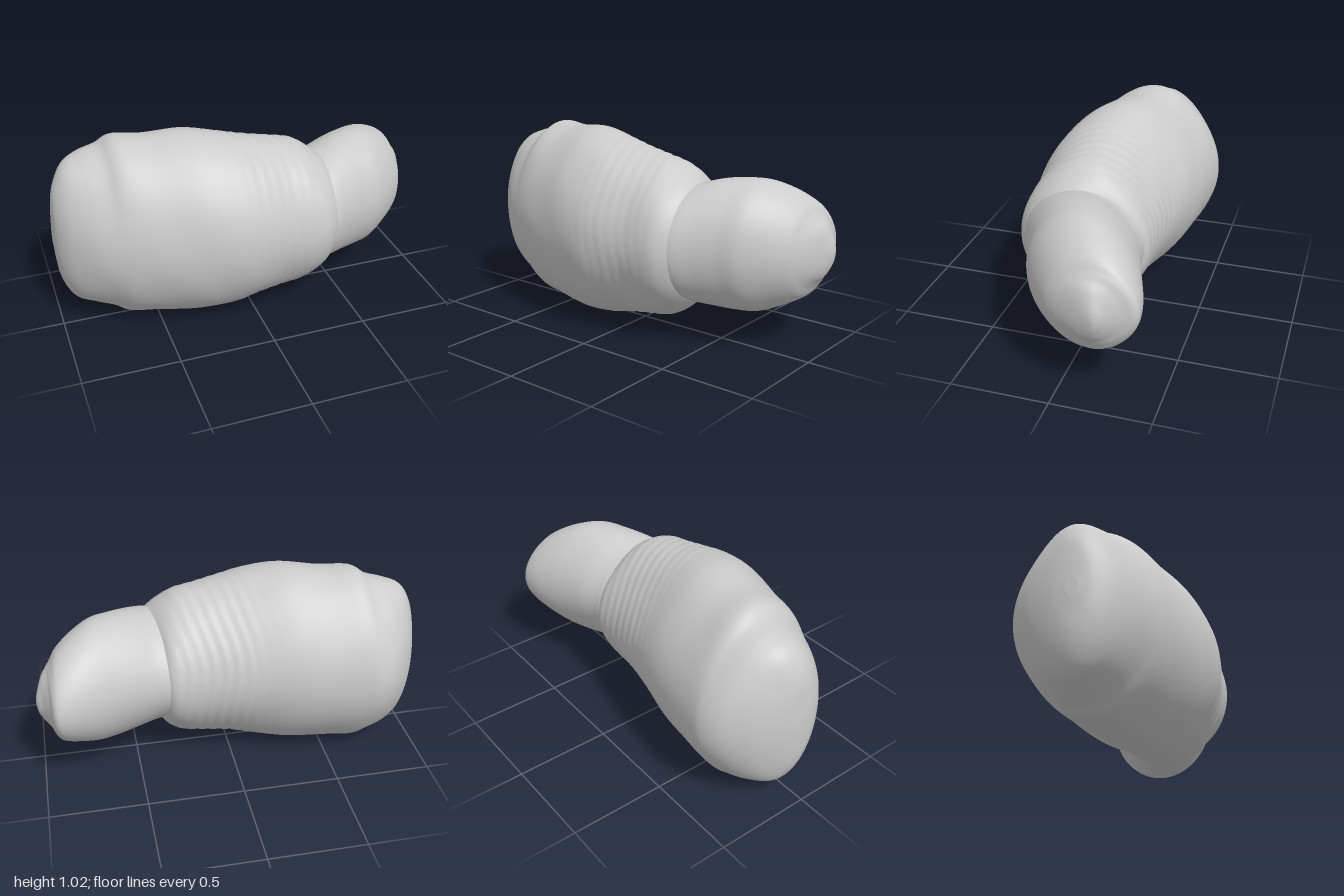
import * as THREE from 'three';

// Smooth loft along x. Each station: [x, yLow, yHigh, zBack, zFront]
function loft(name, stations, material, relief, rings, sides = 120) {
  const curves = [1, 2, 3, 4].map(
    (k) => new THREE.SplineCurve(stations.map((s) => new THREE.Vector2(s[0], s[k])))
  );
  const pos = [], index = [];
  for (let i = 0; i <= rings; i++) {
    const p = curves.map((c) => c.getPoint(i / rings));
    const x = p[0].x;
    const [y0, y1, z0, z1] = p.map((v) => v.y);
    const cy = (y0 + y1) / 2, cz = (z0 + z1) / 2;
    const ry = Math.max(0, (y1 - y0) / 2), rz = Math.max(0, (z1 - z0) / 2);
    for (let j = 0; j < sides; j++) {
      const a = (j / sides) * Math.PI * 2;
      const c = Math.cos(a), s = Math.sin(a);
      const k = 1 + relief(x, c, s);
      pos.push(x, cy + ry * c * k, cz + rz * s * k);
      if (i < rings) {
        const n = (j + 1) % sides;
        const A = i * sides + j, B = i * sides + n, C = A + sides, D = B + sides;
        index.push(A, B, C, B, D, C);
      }
    }
  }
  // Close both ends with a centre point
  for (const ring of [0, rings]) {
    const centre = new THREE.Vector3();
    for (let j = 0; j < sides; j++) {
      const o = (ring * sides + j) * 3;
      centre.add(new THREE.Vector3(pos[o], pos[o + 1], pos[o + 2]));
    }
    centre.divideScalar(sides);
    const id = pos.length / 3;
    pos.push(centre.x, centre.y, centre.z);
    for (let j = 0; j < sides; j++) {
      const A = ring * sides + j, B = ring * sides + ((j + 1) % sides);
      if (ring === 0) index.push(id, B, A);
      else index.push(id, A, B);
    }
  }
  const geo = new THREE.BufferGeometry();
  geo.setAttribute('position', new THREE.Float32BufferAttribute(pos, 3));
  geo.setIndex(index);
  geo.computeVertexNormals();
  const mesh = new THREE.Mesh(geo, material);
  mesh.name = name;
  return mesh;
}

// Flattens the diagonals of a section, by different amounts at back and front
const flatten = (c, s, back, front) => -(s < 0 ? back : front) * (2 * s * c) ** 2;

export function createModel() {
  const group = new THREE.Group();
  group.name = 'roundedMass';
  const grey = new THREE.MeshStandardMaterial({ color: 0xcccccc });

  // Large rounded body, wrinkled toward the neck
  const body = [
    [-1.0, 0.46, 0.56, -0.08, -0.02],
    [-0.985, 0.3, 0.74, -0.15, 0.04],
    [-0.95, 0.19, 0.84, -0.235, 0.1],
    [-0.9, 0.12, 0.905, -0.315, 0.15],
    [-0.82, 0.085, 0.94, -0.395, 0.21],
    [-0.73, 0.055, 0.965, -0.435, 0.26],
    [-0.65, 0.015, 1.01, -0.435, 0.295],
    [-0.5, 0.013, 1.005, -0.42, 0.345],
    [-0.3, 0.005, 1.02, -0.39, 0.4],
    [-0.12, 0.03, 0.99, -0.345, 0.425],
    [0, 0.06, 0.96, -0.32, 0.415],
    [0.14, 0.08, 0.93, -0.3, 0.39],
    [0.25, 0.1, 0.905, -0.295, 0.39],
    [0.32, 0.14, 0.865, -0.285, 0.385],
    [0.37, 0.185, 0.825, -0.22, 0.36],
    [0.41, 0.24, 0.78, -0.15, 0.32],
    [0.44, 0.33, 0.68, -0.05, 0.26],
  ];
  const bodyRelief = (x, c, s) => {
    const band = Math.exp(-(((x - 0.1) / 0.2) ** 2)) * (0.7 - 0.3 * s);
    const ripple = 0.006 * band * Math.sin(x * 105 - s * 8 + 1.5 * Math.sin(c * 5));
    const lumps = 0.006 * Math.sin(x * 14 + c * 5) * Math.sin(s * 7 + x * 6);
    return flatten(c, s, 0.05, 0.015) + ripple + lumps * Math.abs(s);
  };
  group.add(loft('body', body, grey, bodyRelief, 220));

  // Smaller lobe that sweeps back and ends in a blunt tip
  const lobe = [
    [0.2, 0.27, 0.75, -0.2, 0.3],
    [0.3, 0.23, 0.79, -0.265, 0.345],
    [0.4, 0.205, 0.815, -0.275, 0.335],
    [0.5, 0.19, 0.84, -0.3, 0.285],
    [0.6, 0.18, 0.85, -0.33, 0.24],
    [0.7, 0.185, 0.845, -0.365, 0.205],
    [0.8, 0.225, 0.805, -0.395, 0.135],
    [0.88, 0.27, 0.75, -0.405, 0.06],
    [0.915, 0.32, 0.7, -0.39, 0.01],
    [0.935, 0.35, 0.67, -0.335, -0.03],
    [0.965, 0.385, 0.63, -0.275, -0.1],
    [0.99, 0.44, 0.565, -0.245, -0.17],
    [1.0, 0.49, 0.52, -0.22, -0.205],
  ];
  const lobeRelief = (x, c, s) =>
    flatten(c, s, 0.03, 0) + 0.005 * Math.sin(x * 9 + s * 3) * Math.sin(c * 4) * Math.abs(s);
  group.add(loft('lobe', lobe, grey, lobeRelief, 120));

  return group;
}
